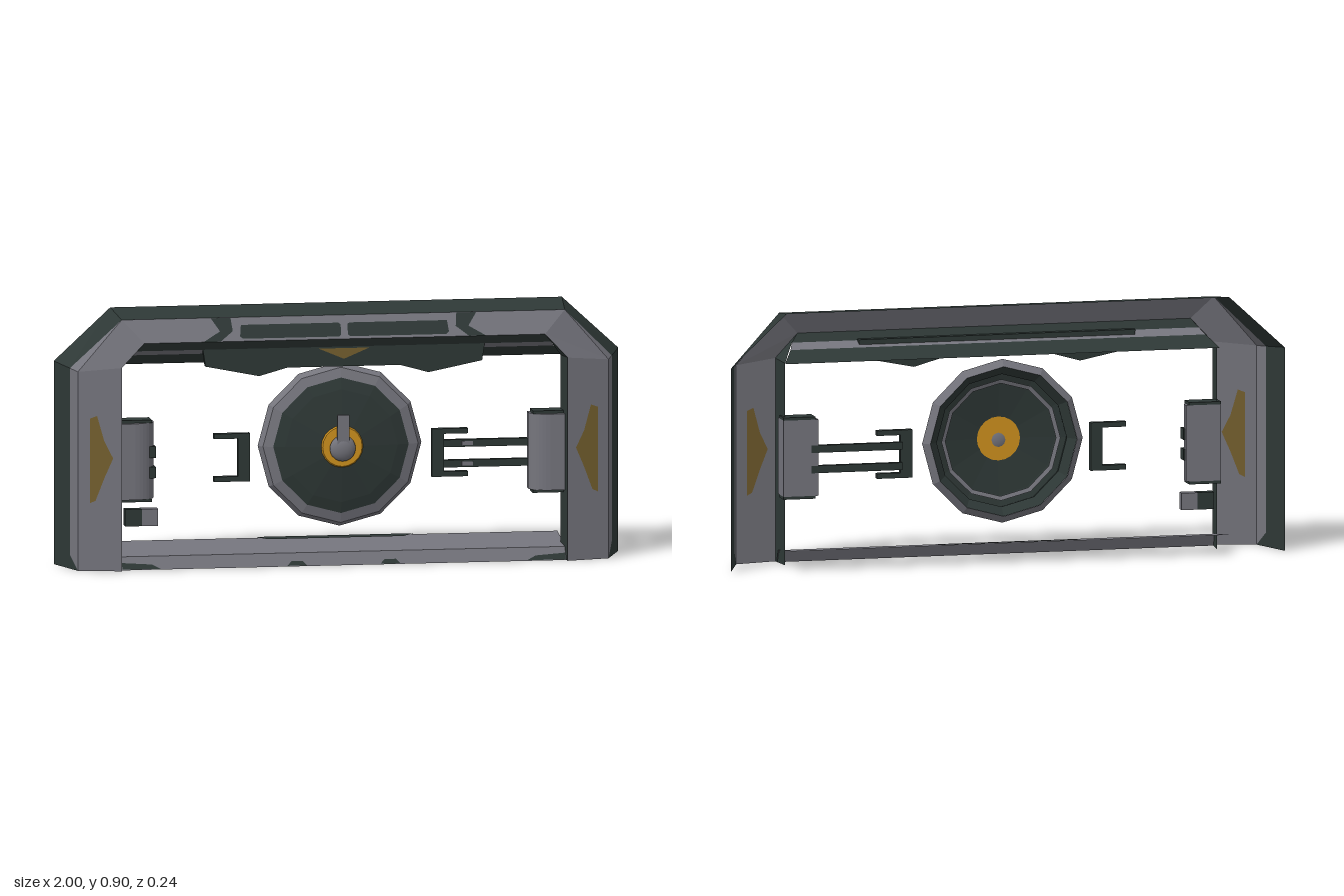
import * as THREE from 'three';

export function createModel() {
  const group = new THREE.Group();
  const mat = (name, color) => {
    const m = new THREE.MeshStandardMaterial({ color, side: THREE.DoubleSide });
    m.name = name;
    return m;
  };
  const gray = mat('steel gray', 0x75757d);
  const dark = mat('dark green metal', 0x2e3836);
  const yellow = mat('bright amber', 0xd0921e);
  const ochre = mat('faded ochre', 0x75602f);

  const add = (name, geo, material) => {
    const mesh = new THREE.Mesh(geo, material);
    mesh.name = name;
    group.add(mesh);
    return mesh;
  };
  const flat = (geo) => {
    const g = geo.index ? geo.toNonIndexed() : geo;
    g.computeVertexNormals();
    return g;
  };
  // Flat-shaded band of quads between two paths of equal length
  const strip = (a, b) => {
    const pos = [];
    for (let i = 0; i < a.length - 1; i++) {
      for (const p of [a[i], a[i + 1], b[i + 1], a[i], b[i + 1], b[i]]) pos.push(...p);
    }
    const g = new THREE.BufferGeometry();
    g.setAttribute('position', new THREE.Float32BufferAttribute(pos, 3));
    return flat(g);
  };
  const shape = (pts) => new THREE.Shape(pts.map(([x, y]) => new THREE.Vector2(x, y)));
  const flip = (pts) => pts.map(([x, ...rest]) => [-x, ...rest]);
  const arch = (half) => [...half, ...flip(half).reverse()];
  // Thin painted plate following a sloped surface z(x, y)
  const plate = (name, pts, surface, material, offsets = [0.004]) => {
    for (const off of offsets) {
      const g = new THREE.ShapeGeometry(shape(pts));
      const p = g.attributes.position;
      for (let i = 0; i < p.count; i++) p.setZ(i, surface(p.getX(i), p.getY(i)) + off);
      add(name, flat(g), material);
    }
  };
  const box = (name, x0, x1, y0, y1, z0, z1, material) => {
    const g = new THREE.BoxGeometry(x1 - x0, y1 - y0, z1 - z0);
    g.translate((x0 + x1) / 2, (y0 + y1) / 2, (z0 + z1) / 2);
    return add(name, g, material);
  };

  // Frame: open-backed arch made of outer wall, side trim, face and inner jamb
  const outerBack = arch([[1, 0, -0.08], [1, 0.05, -0.08], [1, 0.72, -0.08], [0.8, 0.905, -0.08]]);
  const trimEdge = arch([[0.94, 0, 0.085], [0.96, 0.05, 0.03], [0.96, 0.71, 0.03], [0.785, 0.885, 0.085]]);
  const outerFront = arch([[0.94, 0, 0.085], [0.94, 0.05, 0.085], [0.94, 0.705, 0.085], [0.785, 0.885, 0.085]]);
  const innerFront = arch([[0.79, 0, 0.12], [0.79, 0.05, 0.12], [0.79, 0.72, 0.12], [0.71, 0.805, 0.12]]);
  add('outerWall', strip(outerBack, trimEdge), dark);
  const trimHalf = [trimEdge.slice(0, 4), outerFront.slice(0, 4)];
  add('sideTrim', strip(...trimHalf), gray);
  add('sideTrim', strip(...trimHalf.map(flip).reverse()), gray);
  add('frameFace', strip(outerFront, innerFront), gray);
  for (const s of [1, -1]) {
    add('jamb', strip(
      [[s * 0.79, 0, 0.12], [s * 0.79, 0.72, 0.12], [s * 0.71, 0.805, 0.12]],
      [[s * 0.78, 0, 0.02], [s * 0.78, 0.715, 0.02], [s * 0.735, 0.775, 0.1]]), dark);
  }

  // Soffit: three sloped bands under the header
  const soffit = [[0.71, 0.805, 0.12], [0.735, 0.775, 0.1], [0.75, 0.755, 0.06], [0.785, 0.715, 0]];
  for (let i = 0; i < 3; i++) {
    const [a, b] = [soffit[i], soffit[i + 1]];
    add('soffit', strip(arch([a]), arch([b])), i === 1 ? gray : dark);
  }

  // Sill: low front lip and ramped floor plate with dark patches
  const line = (y, z) => [[-0.79, y, z], [0.79, y, z]];
  add('sillFront', strip(line(0, 0.1), line(0.045, 0.08)), gray);
  add('sillFloor', strip(line(0.045, 0.08), line(0.07, -0.12)), gray);
  add('sillPatch', strip([[-0.24, 0.0695, -0.085], [0.24, 0.0695, -0.085]],
    [[-0.28, 0.073, -0.12], [0.28, 0.073, -0.12]]), dark);
  const lip = (x, y) => 0.1 - 0.44 * y;
  for (const s of [1, -1]) {
    plate('sillMark', [[s * 0.13, 0.003], [s * 0.2, 0.003], [s * 0.185, 0.018], [s * 0.145, 0.018]], lip, dark);
    plate('sillMark', [[s * 0.65, 0.003], [s * 0.785, 0.003], [s * 0.785, 0.025], [s * 0.68, 0.018]], lip, dark);
  }

  // Painted marks on the legs and header
  const legZ = (x) => 0.12 - 0.233 * (Math.abs(x) - 0.79);
  const headZ = (x, y) => 0.12 - 0.437 * (y - 0.805);
  for (const s of [1, -1]) {
    const mark = [[0.9, 0.54], [0.875, 0.55], [0.85, 0.46], [0.82, 0.4], [0.85, 0.33], [0.88, 0.25], [0.9, 0.24]];
    plate('legMark', mark.map(([x, y]) => [s * x, y]), legZ, ochre, [0.004, -0.004]);
    const band = [[0.4, 0.884], [0.47, 0.884], [0.44, 0.84], [0.5, 0.806], [0.44, 0.806], [0.395, 0.84]];
    plate('headerStripe', band.map(([x, y]) => [s * x, y]), headZ, dark);
    const inset = [[0.012, 0.82], [0.02, 0.814], [0.36, 0.814], [0.37, 0.822], [0.365, 0.86], [0.02, 0.86], [0.012, 0.855]];
    plate('headerInset', inset.map(([x, y]) => [s * x, y]), headZ, dark);
  }

  // Valance hanging from the header
  const valance = arch([[0.5, 0.78], [0.49, 0.715], [0.3, 0.677], [0.2, 0.705]]);
  const valanceGeo = new THREE.ExtrudeGeometry(shape(valance), { depth: 0.025, bevelEnabled: false });
  add('valance', valanceGeo.translate(0, 0, 0.075), dark);
  plate('valanceMark', [[-0.09, 0.77], [0, 0.732], [0.09, 0.77]], () => 0.1, ochre);

  // Round door: twelve-sided dished shell
  const disc = new THREE.Group();
  disc.name = 'roundDoor';
  disc.position.y = 0.415;
  const addDisc = (name, pts, material, sides = 12) => {
    const g = new THREE.LatheGeometry(pts.map(([r, z]) => new THREE.Vector2(r, z)), sides);
    disc.add(Object.assign(new THREE.Mesh(flat(g.rotateX(Math.PI / 2)), material), { name }));
  };
  addDisc('doorRim', [[0.265, -0.02], [0.29, 0], [0.275, 0.025], [0.24, 0.035]], gray);
  addDisc('doorDish', [[0.265, -0.018], [0.235, 0.01], [0.24, 0.035], [0.2, 0.045], [0.07, 0.062]], dark);
  addDisc('innerRing', [[0.215, 0.02], [0.2, 0.025]], gray);
  addDisc('hubRing', [[0.075, 0.06], [0.07, 0.068], [0, 0.068]], yellow, 20);
  addDisc('hubBack', [[0.078, 0.056], [0, 0.056]], yellow, 20);
  const knob = new THREE.Mesh(new THREE.SphereGeometry(0.046, 20, 10), gray);
  knob.name = 'knob';
  knob.scale.z = 0.5;
  knob.position.set(0, -0.005, 0.075);
  const lever = new THREE.Mesh(new THREE.BoxGeometry(0.042, 0.11, 0.016), gray);
  lever.name = 'lever';
  lever.position.set(0, 0.06, 0.085);
  disc.add(knob, lever);
  group.add(disc);

  // C brackets, one each side of the door
  for (const s of [1, -1]) {
    const c = [[0.322, 0.295], [0.45, 0.295], [0.45, 0.313], [0.365, 0.313],
      [0.365, 0.447], [0.45, 0.447], [0.45, 0.465], [0.322, 0.465]].map(([x, y]) => [s * x, y]);
    const g = new THREE.ExtrudeGeometry(shape(c), { depth: 0.025, bevelEnabled: false });
    add('bracket', g.translate(0, 0, 0.01), dark);
  }

  // Bolt rods on the left side
  for (const y of [0.41, 0.338]) {
    box('boltRod', 0.36, 0.69, y - 0.013, y + 0.013, 0, 0.02, dark);
    box('rodCollar', 0.43, 0.47, y - 0.007, y + 0.007, 0.018, 0.023, gray);
  }

  // Rounded bolt housings on both jambs
  for (const s of [1, -1]) {
    const p = new THREE.Shape();
    p.moveTo(s * 0.79, 0);
    p.lineTo(s * 0.79, 0.08);
    p.lineTo(s * 0.735, 0.08);
    p.quadraticCurveTo(s * 0.672, 0.075, s * 0.664, 0.03);
    p.lineTo(s * 0.664, 0);
    const g = new THREE.ExtrudeGeometry(p, { depth: 0.27, bevelEnabled: false, curveSegments: 8 });
    // Extrusion runs downward after turning the section into the x-z plane
    g.rotateX(Math.PI / 2).translate(0, 0.515, 0);
    add('boltHousing', g, gray);
    for (const y of [0.235, 0.515]) {
      box('housingCap', Math.min(s * 0.675, s * 0.79), Math.max(s * 0.675, s * 0.79), y, y + 0.01, 0, 0.065, dark);
    }
  }
  // Empty sockets on the right housing
  for (const y of [0.41, 0.338]) box('boltSocket', -0.685, -0.66, y - 0.02, y + 0.02, 0.02, 0.062, dark);

  // Small latch block below the right housing
  box('latchBlock', -0.765, -0.705, 0.145, 0.205, 0, 0.035, dark);
  box('latchTip', -0.705, -0.648, 0.145, 0.205, 0, 0.035, gray);

  return group;
}
